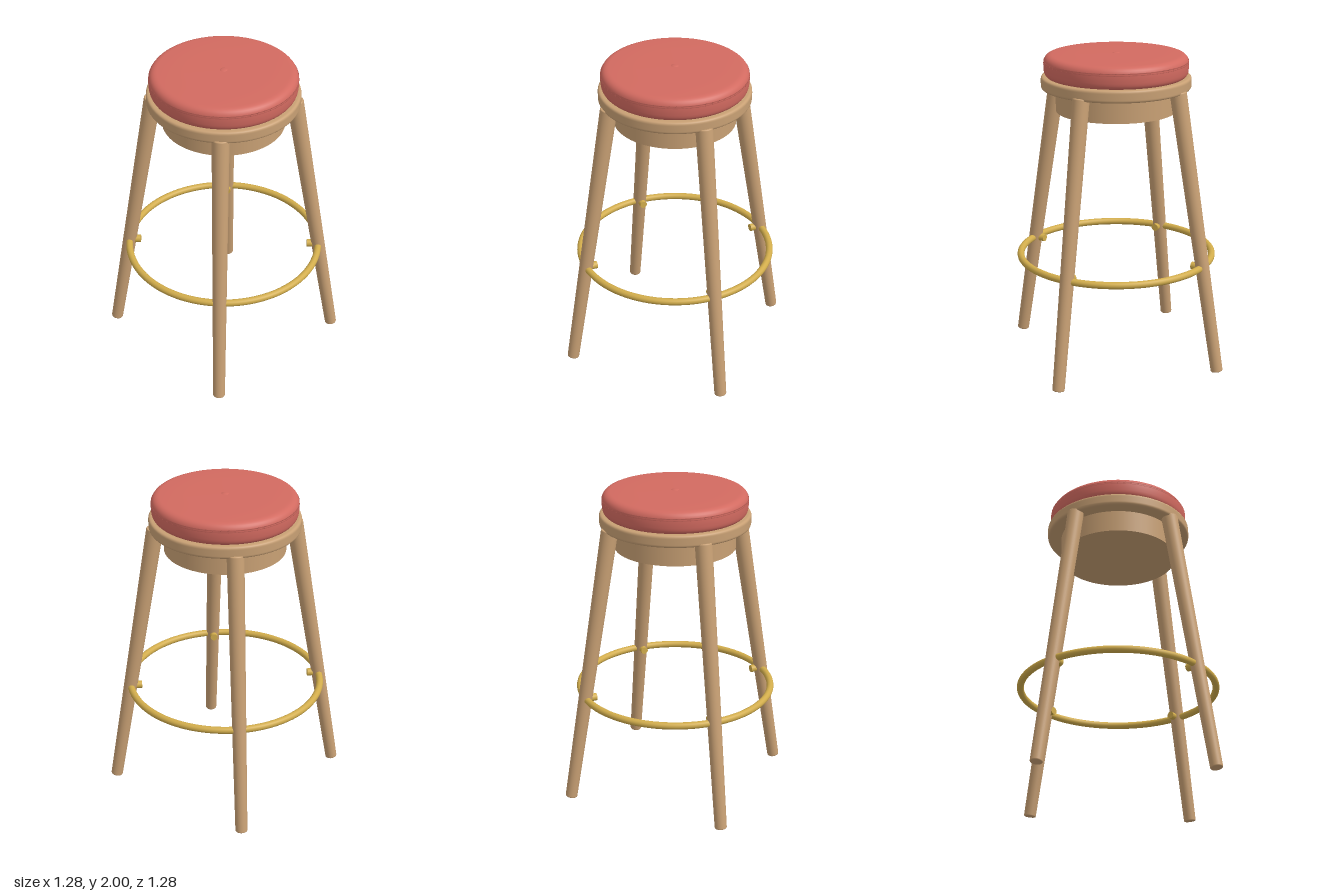
import * as THREE from 'three';

const material = (name, color) => {
  const m = new THREE.MeshStandardMaterial({ color });
  m.name = name;
  return m;
};

// Turned solid with rounded rims: corners are [radius, y, rounding], listed bottom to top
function turned(corners, segments = 64) {
  const path = new THREE.Path();
  corners.forEach(([r, y, round = 0], i) => {
    const p = new THREE.Vector2(r, y);
    if (i === 0) return path.moveTo(r, y);
    if (!round) return path.lineTo(r, y);
    const step = (j) => {
      const q = new THREE.Vector2(corners[j][0], corners[j][1]);
      return p.clone().add(q.sub(p).setLength(round));
    };
    const a = step(i - 1), b = step(i + 1);
    path.lineTo(a.x, a.y);
    path.quadraticCurveTo(r, y, b.x, b.y);
  });
  return new THREE.LatheGeometry(path.getPoints(8), segments);
}

export function createModel() {
  const wood = material('wood', 0xc8a074);
  const fabric = material('red upholstery', 0xd26a60);
  const brass = material('brass', 0xd2ad4c);

  const stool = new THREE.Group();
  stool.name = 'stool';
  const add = (name, geometry, mat, parent = stool) => {
    const mesh = new THREE.Mesh(geometry, mat);
    mesh.name = name;
    parent.add(mesh);
    return mesh;
  };

  // Padded cushion with a centre button
  add('cushion', turned([
    [0, 1.85], [0.445, 1.85, 0.04], [0.453, 1.925, 0.03], [0.447, 1.988, 0.05], [0.3, 1.994, 0.06], [0, 1.996],
  ]), fabric);
  const button = add('cushionButton', new THREE.SphereGeometry(0.026, 24, 12), fabric);
  button.scale.y = 0.3;
  button.position.y = 1.992;

  // Wooden seat plate and apron below it
  add('seatPlate', turned([
    [0, 1.778], [0.469, 1.778, 0.02], [0.469, 1.856, 0.02], [0, 1.856],
  ]), wood);
  const apron = add('apron', new THREE.CylinderGeometry(0.378, 0.378, 0.15, 64), wood);
  apron.position.y = 1.71;

  // Footrest hoop running through the legs
  const hoop = add('footrestRing', new THREE.TorusGeometry(0.617, 0.022, 16, 96), brass);
  hoop.rotation.x = Math.PI / 2;
  hoop.position.y = 0.692;

  // Four splayed, tapered legs, each with a brass peg on the inner side
  const foot = new THREE.Vector3(0.735, 0.007, 0);
  const head = new THREE.Vector3(0.431, 1.79, 0);
  const axis = head.clone().sub(foot);
  const length = axis.length();
  const legGeometry = turned([
    [0, 0], [0.038, 0, 0.008], [0.0525, length, 0.008], [0, length],
  ], 32);
  const pegGeometry = new THREE.CylinderGeometry(0.024, 0.024, 0.08, 20);
  const corners = ['Left', 'BackLeft', 'BackRight', 'Right'];
  corners.forEach((_, i) => {
    const corner = new THREE.Group();
    corner.name = ['backLeftLeg', 'backRightLeg', 'frontRightLeg', 'frontLeftLeg'][i];
    corner.rotation.y = Math.PI / 4 + i * Math.PI / 2;
    stool.add(corner);

    const leg = add('leg', legGeometry, wood, corner);
    leg.position.copy(foot);
    leg.quaternion.setFromUnitVectors(new THREE.Vector3(0, 1, 0), axis.clone().normalize());

    const peg = add('footrestPeg', pegGeometry, brass, corner);
    peg.rotation.z = Math.PI / 2;
    peg.position.set(0.585, 0.692, 0);
  });

  return stool;
}
